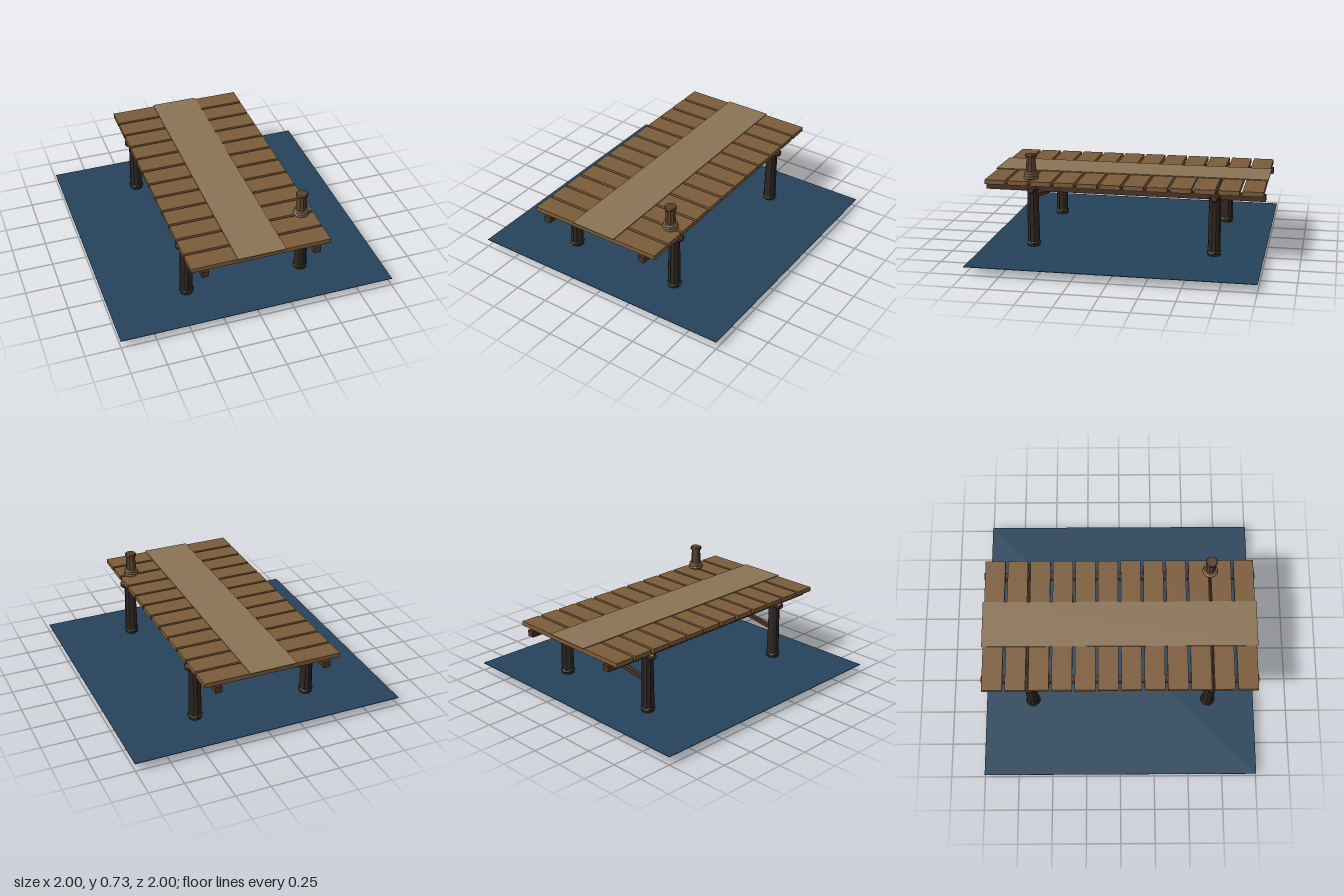
import * as THREE from 'three';

const paint = (color) => new THREE.MeshStandardMaterial({ color, flatShading: true });

export function createModel() {
  const model = new THREE.Group();
  const mats = {
    water: paint(0x25435b), plank: paint(0x7c5c3a), runner: paint(0x8b7456),
    beam: paint(0x4a3226), pile: paint(0x2e2622), post: paint(0x5a4029),
    rope: paint(0x8c7350), algae: paint(0x2f4a22),
  };

  function add(name, geometry, mat, x, y, z, parent = model) {
    const mesh = new THREE.Mesh(geometry, mats[mat]);
    mesh.name = name;
    mesh.position.set(x, y, z);
    parent.add(mesh);
    return mesh;
  }
  const lathe = (points, sides) =>
    new THREE.LatheGeometry(points.map(([r, y]) => new THREE.Vector2(r, y)), sides);

  // Water sheet
  add('water', new THREE.BoxGeometry(2, 0.004, 2), 'water', 0, 0.058, 0);

  // Deck planks and the worn walkway laid along the middle
  for (let i = 0; i < 12; i++) {
    add('deckPlank', new THREE.BoxGeometry(1, 0.032, 0.147), 'plank', 0, 0.53, -1 + (i + 0.5) / 6);
  }
  add('walkway', new THREE.BoxGeometry(0.345, 0.007, 2), 'runner', 0, 0.549, 0);

  // Long bearers under the deck
  for (const x of [-0.4, 0.4]) {
    add('bearer', new THREE.BoxGeometry(0.05, 0.045, 2), 'beam', x, 0.483, 0);
  }

  // Round cross beam with chamfered ends
  const crossGeometry = lathe(
    [[0, -0.5], [0.02, -0.5], [0.029, -0.485], [0.029, 0.485], [0.02, 0.5], [0, 0.5]], 8);
  crossGeometry.rotateY(Math.PI / 8).rotateZ(Math.PI / 2);

  // Tilted brace between the two piles of a pair
  const low = new THREE.Vector2(-0.46, 0.278);
  const high = new THREE.Vector2(0.465, 0.427);
  const run = high.clone().sub(low);

  const pileGeometry = new THREE.CylinderGeometry(0.041, 0.047, 0.48, 10);

  // Weed collar: a ring whose vertices ripple around the pile
  const weedGeometry = new THREE.TorusGeometry(0.045, 0.008, 5, 14).rotateX(Math.PI / 2);
  const p = weedGeometry.attributes.position;
  for (let i = 0; i < p.count; i++) {
    const a = Math.atan2(p.getZ(i), p.getX(i));
    p.setY(i, p.getY(i) + 0.006 * Math.sin(5 * a));
  }

  // Trestles: cross beam, brace and two piles
  for (const z of [0.655, -0.65]) {
    const trestle = new THREE.Group();
    trestle.name = 'trestle';
    trestle.position.z = z;
    model.add(trestle);
    add('crossBeam', crossGeometry, 'beam', 0, 0.483, 0, trestle);
    const brace = add('brace', new THREE.BoxGeometry(run.length(), 0.026, 0.03), 'beam',
      (low.x + high.x) / 2, (low.y + high.y) / 2, 0, trestle);
    brace.rotation.z = run.angle();
    for (const x of [-0.43, 0.43]) {
      add('pile', pileGeometry, 'pile', x, 0.24, 0, trestle);
      const weed = add('weedCollar', weedGeometry, 'algae', x, 0.085, 0, trestle);
      weed.rotation.y = x * 3 + z;
    }
  }

  // Mooring post with a flared foot and cap
  const bollard = new THREE.Group();
  bollard.name = 'mooringPost';
  bollard.position.set(0.41, 0.545, 0.67);
  model.add(bollard);
  add('postBody', lathe(
    [[0, 0], [0.042, 0], [0.032, 0.16], [0.042, 0.16], [0.043, 0.176], [0.038, 0.182], [0, 0.182]], 10),
  'post', 0, 0, 0, bollard);

  // Rope wound round the foot of the post
  for (let i = 0; i < 3; i++) {
    const coil = add('ropeCoil', new THREE.TorusGeometry(0.047 - i * 0.002, 0.009, 6, 16).rotateX(Math.PI / 2),
      'rope', 0, 0.014 + i * 0.015, 0, bollard);
    coil.rotation.z = (i - 1) * 0.06;
  }

  return model;
}
